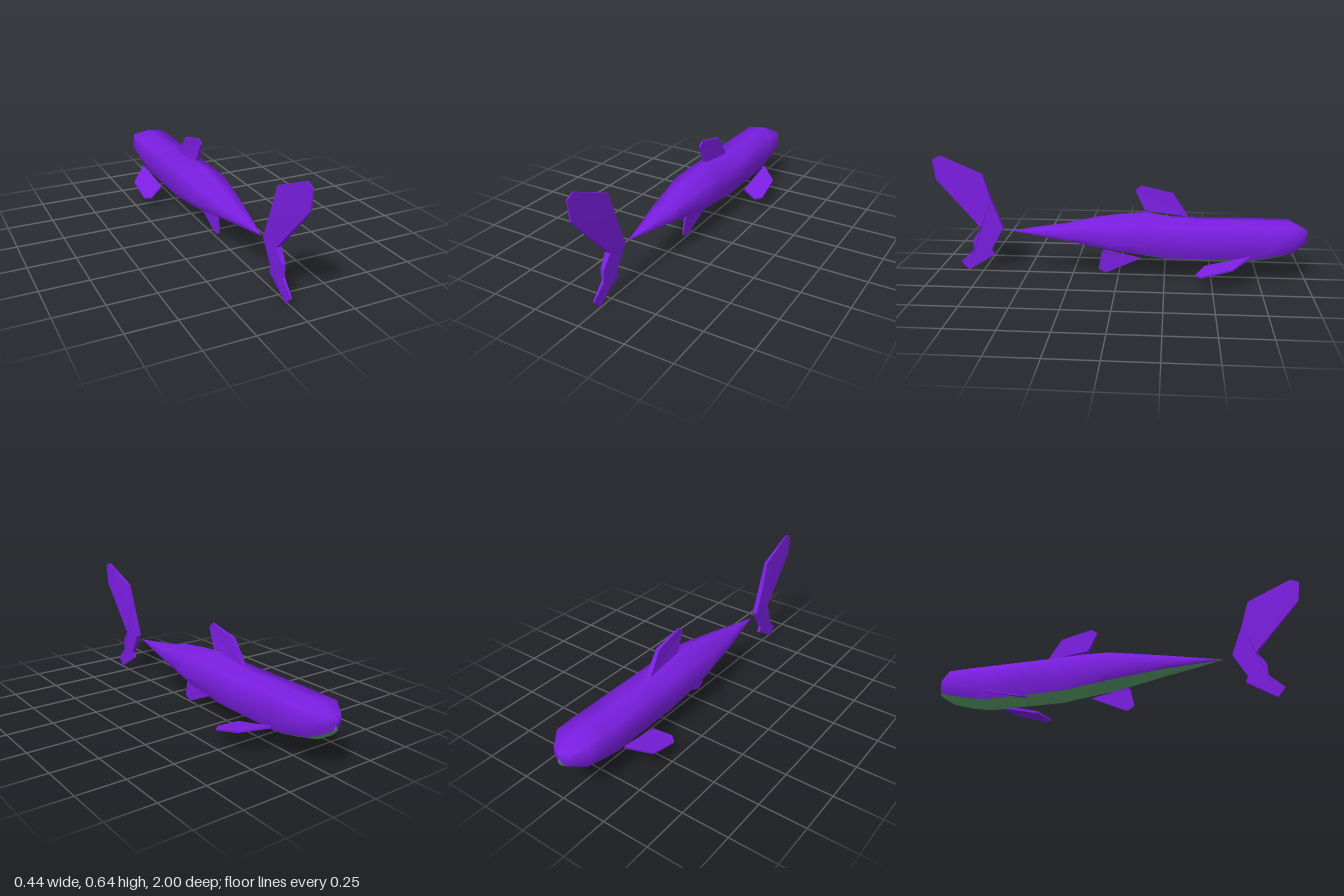
import * as THREE from 'three';

const purple = new THREE.MeshStandardMaterial({ color: 0x7a1ee0 });
const purpleFlat = new THREE.MeshStandardMaterial({ color: 0x7a1ee0, flatShading: true });
const green = new THREE.MeshStandardMaterial({ color: 0x5a9f6a });
const MID = -0.006; // the body sits slightly off centre

// Body sections: z, half width, then heights of top, shoulder, side, belly seam, keel
const SECTIONS = [
  [-1.00, 0, 0.24, 0.24, 0.24, 0.24, 0.24],
  [-1.00, 0.018, 0.27, 0.265, 0.245, 0.215, 0.205],
  [-0.98, 0.055, 0.285, 0.275, 0.24, 0.205, 0.187],
  [-0.91, 0.105, 0.32, 0.305, 0.22, 0.17, 0.143],
  [-0.80, 0.106, 0.32, 0.307, 0.20, 0.145, 0.11],
  [-0.70, 0.106, 0.32, 0.307, 0.20, 0.125, 0.09],
  [-0.42, 0.106, 0.32, 0.307, 0.20, 0.125, 0.09],
  [-0.28, 0.106, 0.335, 0.307, 0.20, 0.125, 0.09],
  [-0.15, 0.106, 0.357, 0.31, 0.20, 0.14, 0.113],
  [0.00, 0.105, 0.343, 0.305, 0.20, 0.158, 0.138],
  [0.12, 0.088, 0.325, 0.29, 0.215, 0.175, 0.157],
  [0.28, 0.064, 0.287, 0.27, 0.22, 0.20, 0.183],
  [0.45, 0.030, 0.26, 0.25, 0.228, 0.218, 0.21],
  [0.59, 0, 0.235, 0.235, 0.235, 0.235, 0.235],
];

function buildMesh(name, positions, index, material) {
  const geo = new THREE.BufferGeometry();
  geo.setAttribute('position', new THREE.Float32BufferAttribute(positions, 3));
  geo.setIndex(index);
  geo.computeVertexNormals();
  const mesh = new THREE.Mesh(geo, material);
  mesh.name = name;
  return mesh;
}

// Skin over the sections; ring() gives the counter-clockwise [x, y] points of one
function loft(name, ring, material) {
  const rings = SECTIONS.map(ring), n = rings[0].length;
  const pos = [], idx = [];
  rings.forEach((pts, i) => pts.forEach(([x, y]) => pos.push(x + MID, y, SECTIONS[i][0])));
  for (let i = 0; i < rings.length - 1; i++) {
    for (let j = 0; j < n - 1; j++) {
      const a = i * n + j, b = a + 1, c = a + n, d = c + 1;
      idx.push(a, b, c, b, d, c);
    }
  }
  return buildMesh(name, pos, idx, material);
}

// Thin solid from an outline of [x, y, z, half thickness], thickened along x or y
function fin(name, outline, axis) {
  const flat = ([x, y, z]) => (axis === 0 ? new THREE.Vector2(y, z) : new THREE.Vector2(z, x));
  let pts = outline;
  if (THREE.ShapeUtils.isClockWise(pts.map(flat))) pts = [...pts].reverse();
  const n = pts.length, pos = [], idx = [];
  for (const side of [1, -1]) {
    for (const p of pts) {
      const q = p.slice(0, 3);
      q[axis] += side * p[3];
      pos.push(...q);
    }
  }
  for (const [a, b, c] of THREE.ShapeUtils.triangulateShape(pts.map(flat), [])) {
    idx.push(a, b, c, n + a, n + c, n + b);
  }
  for (let i = 0; i < n; i++) {
    const j = (i + 1) % n;
    idx.push(n + i, n + j, j, n + i, j, i);
  }
  return buildMesh(name, pos, idx, purpleFlat);
}

// Upright fin from [z, y, half thickness] points
const uprightFin = (name, x, pts) => fin(name, pts.map(([z, y, t]) => [x, y, z, t]), 0);

export function createModel() {
  const model = new THREE.Group();
  model.name = 'fish';

  // Back and flanks, then the belly strip below the seam
  model.add(loft('body', ([, w, top, shoulder, side, seam]) => [
    [w * 0.74, seam], [w, side], [w * 0.93, shoulder], [0, top],
    [-w * 0.93, shoulder], [-w, side], [-w * 0.74, seam],
  ], purple));
  model.add(loft('belly', ([, w, , , , seam, keel]) => [
    [-w * 0.74, seam], [-w * 0.35, keel + (seam - keel) * 0.4], [0, keel],
    [w * 0.35, keel + (seam - keel) * 0.4], [w * 0.74, seam],
  ], green));

  // Dorsal fin
  model.add(uprightFin('dorsalFin', MID, [
    [-0.37, 0.34, 0.014], [-0.29, 0.46, 0.01], [-0.12, 0.50, 0.005],
    [-0.09, 0.475, 0.004], [-0.14, 0.37, 0.012],
  ]));

  // Anal fin under the rear of the belly
  model.add(uprightFin('analFin', 0.007, [
    [-0.12, 0.10, 0.006], [0.075, 0.14, 0.008], [0.09, 0.13, 0.006],
    [0.11, 0.035, 0.003], [0.07, 0.012, 0.003],
  ]));

  // Tail fin, tall upper lobe and short lower lobe
  model.add(uprightFin('tailFin', -0.007, [
    [0.63, 0.25, 0.014], [0.69, 0.41, 0.014], [0.73, 0.545, 0.009], [0.955, 0.645, 0.003],
    [1.0, 0.625, 0.003], [0.985, 0.515, 0.006], [0.75, 0.25, 0.015], [0.797, 0.185, 0.01],
    [0.80, 0.12, 0.008], [0.875, 0.05, 0.004], [0.835, 0.002, 0.003], [0.685, 0.095, 0.008],
    [0.70, 0.125, 0.01],
  ]));

  // Pectoral fins
  model.add(fin('leftPectoralFin', [
    [0.103, 0.153, -0.70, 0.007], [0.21, 0.12, -0.60, 0.005], [0.217, 0.077, -0.44, 0.004],
    [0.18, 0.073, -0.41, 0.004], [0.092, 0.09, -0.46, 0.007],
  ], 1));
  model.add(fin('rightPectoralFin', [
    [-0.122, 0.163, -0.70, 0.007], [-0.22, 0.107, -0.60, 0.005], [-0.218, 0.068, -0.44, 0.004],
    [-0.18, 0.073, -0.41, 0.004], [-0.1, 0.108, -0.46, 0.007],
  ], 1));

  return model;
}
